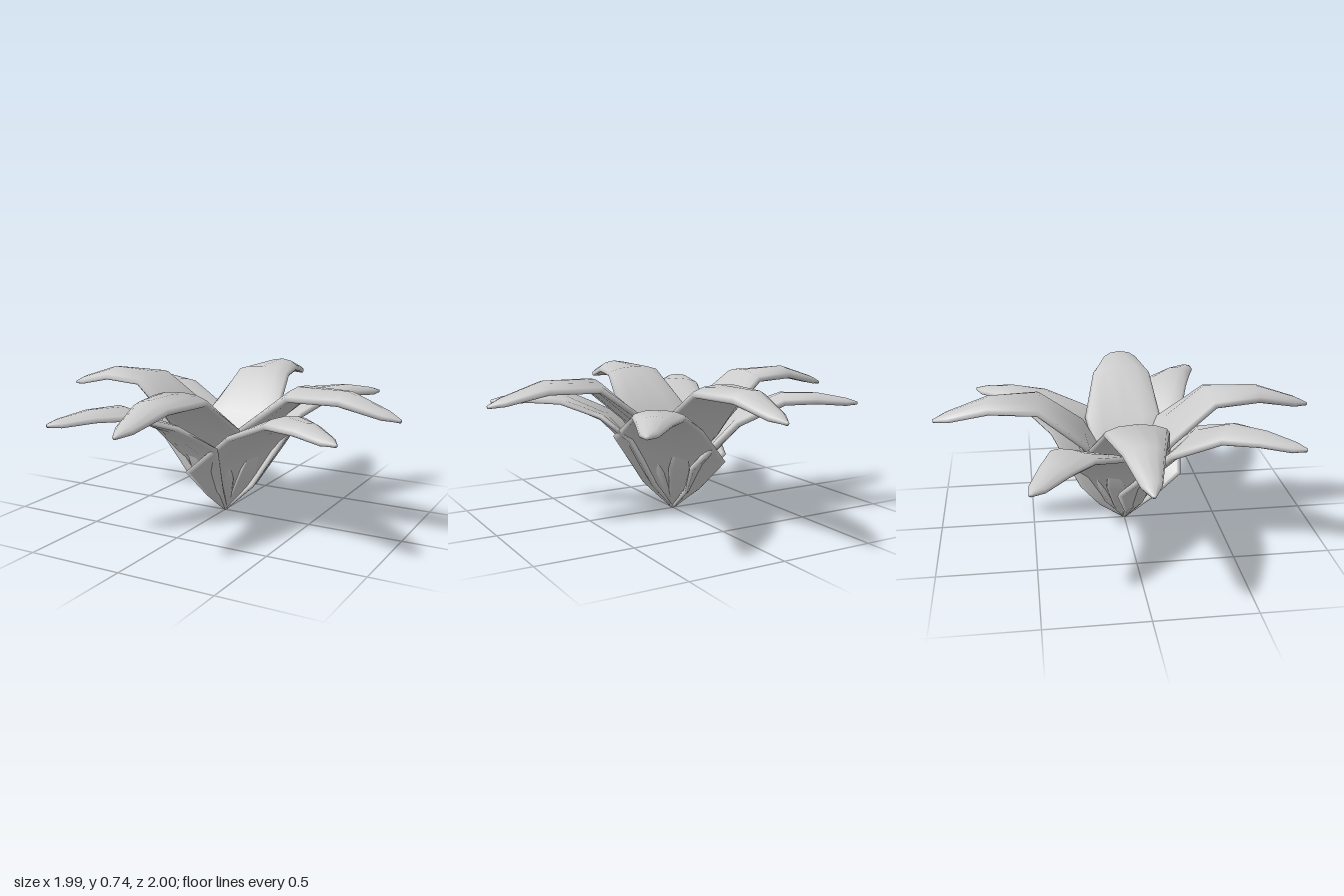
import * as THREE from 'three';

const material = new THREE.MeshStandardMaterial({ color: 0xcccccc, side: THREE.DoubleSide });

// Half-width and thickness factors around one petal cross-section
const SECTION = [[0, 1], [0.55, 0.95], [0.92, 0.6], [1, 0], [0.92, -0.6], [0.55, -0.95],
  [0, -1], [-0.55, -0.95], [-0.92, -0.6], [-1, 0], [-0.92, 0.6], [-0.55, 0.95]];

// Leaf-like solid; each ring is [distance out, height, half width, half thickness, edge rise, roll]
function petal(name, rings, degrees) {
  const angle = THREE.MathUtils.degToRad(degrees);
  const c = Math.cos(angle), s = Math.sin(angle);
  const positions = [], index = [], n = SECTION.length;
  const add = (out, y, side) => positions.push(c * out - s * side, Math.max(0, y), s * out + c * side);

  rings.forEach(([out, y, width, thick, rise, roll], i) => {
    const before = rings[Math.max(i - 1, 0)], after = rings[Math.min(i + 1, rings.length - 1)];
    const t = new THREE.Vector2(after[0] - before[0], after[1] - before[1]).normalize();
    for (const [across, up] of SECTION) {
      const side = across * width;
      const lift = up * thick + rise * across * across;
      add(out - t.y * lift - 0.7 * roll * side, y + t.x * lift - roll * side, side);
    }
    if (i === 0) return;
    const base = (i - 1) * n;
    for (let j = 0; j < n; j++) {
      const k = (j + 1) % n;
      index.push(base + j, base + k, base + n + j, base + k, base + n + k, base + n + j);
    }
  });

  // Close both ends
  const first = rings[0], last = rings[rings.length - 1], end = (rings.length - 1) * n;
  add(first[0], first[1], 0);
  add(last[0], last[1], 0);
  const a = rings.length * n;
  for (let j = 0; j < n; j++) {
    const k = (j + 1) % n;
    index.push(a, base0(k), base0(j), a + 1, end + j, end + k);
  }

  const geometry = new THREE.BufferGeometry();
  geometry.setAttribute('position', new THREE.Float32BufferAttribute(positions, 3));
  geometry.setIndex(index);
  geometry.computeVertexNormals();
  const mesh = new THREE.Mesh(geometry, material);
  mesh.name = name;
  return mesh;
}
const base0 = (j) => j;

const upperRings = [
  [0.01, 0.10, 0.02, 0.012, 0, 0],
  [0.10, 0.28, 0.14, 0.022, 0.02, 0],
  [0.23, 0.50, 0.21, 0.025, 0.02, 0],
  [0.45, 0.71, 0.16, 0.026, -0.02, 0],
  [0.71, 0.715, 0.10, 0.026, -0.025, 0],
  [0.92, 0.65, 0.05, 0.02, -0.012, 0],
  [0.995, 0.625, 0.008, 0.008, 0, 0],
];

// The lower petals lean sideways near the base
const lowerRings = (roll) => [
  [0.00, 0.01, 0.015, 0.01, 0, 0],
  [0.09, 0.14, 0.15, 0.018, 0.01, roll * 0.5],
  [0.19, 0.33, 0.29, 0.022, 0.05, roll],
  [0.36, 0.51, 0.19, 0.025, 0.01, roll * 0.4],
  [0.58, 0.615, 0.13, 0.025, -0.015, 0],
  [0.76, 0.62, 0.085, 0.022, -0.02, 0],
  [0.92, 0.595, 0.045, 0.018, -0.01, 0],
  [0.98, 0.585, 0.008, 0.008, 0, 0],
];

const sepalRings = (size) => [
  [0.00, 0.005, 0.01, 0.006, 0, 0],
  [0.10, 0.13, 0.04, 0.012, 0, 0],
  [0.18, 0.27, 0.055, 0.014, -0.005, 0],
  [0.23, 0.38, 0.035, 0.012, -0.005, 0],
  [0.25, 0.46, 0.005, 0.005, 0, 0],
].map(([out, y, ...rest]) => [out * size, y * size, ...rest]);

export function createModel() {
  const flower = new THREE.Group();
  flower.name = 'flower';

  // Inner ring of raised petals
  [5, 90, 180, 270].forEach((a) => flower.add(petal('upperPetal', upperRings, a)));

  // Outer ring of wider, lower petals
  [[31.5, 0.27], [122, 0.27], [212, 0.27], [306.5, -0.25]]
    .forEach(([a, roll]) => flower.add(petal('lowerPetal', lowerRings(roll), a)));

  // Small pointed leaves around the base
  for (let i = 0; i < 8; i++) {
    flower.add(petal('sepal', sepalRings(i % 2 ? 0.85 : 1), 20 + i * 45));
  }
  return flower;
}
